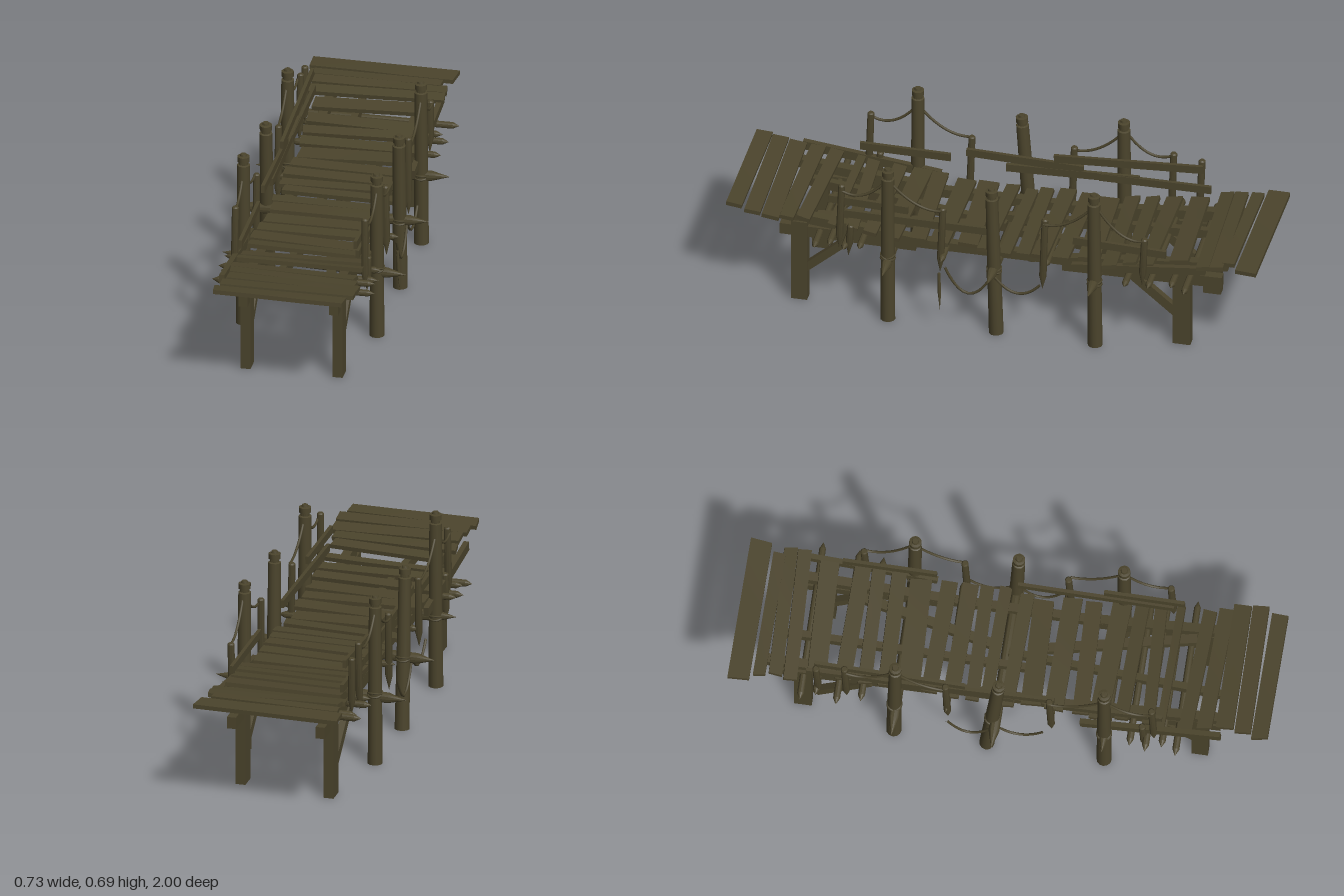
import * as THREE from 'three';
import { toCreasedNormals } from 'three/addons/utils/BufferGeometryUtils.js';

export function createModel() {
  const root = new THREE.Group();
  root.name = 'woodenBridge';
  const wood = new THREE.MeshStandardMaterial({ color: 0x4b442c });
  wood.name = 'weathered wood';
  const V = (x, y, z) => new THREE.Vector3(x, y, z);

  let seed = 7;
  const rnd = (s) => {
    seed = (seed * 16807) % 2147483647;
    return (seed / 2147483647 - 0.5) * 2 * s;
  };
  const group = (name) => {
    const g = new THREE.Group();
    g.name = name;
    root.add(g);
    return g;
  };
  const add = (parent, geo, name) => {
    const m = new THREE.Mesh(geo, wood);
    m.name = name;
    parent.add(m);
    return m;
  };

  // Squared timber from a to b: w across, h deep
  const beam = (parent, name, a, b, w, h) => {
    const m = add(parent, new THREE.BoxGeometry(w, h, a.distanceTo(b)), name);
    m.position.copy(a).add(b).multiplyScalar(0.5);
    if (Math.hypot(b.x - a.x, b.z - a.z) < 0.1 * Math.abs(b.y - a.y)) m.up.set(0, 0, 1);
    m.lookAt(b);
  };

  // Round timber turned from a [radius, distance along] profile
  const turned = (parent, name, a, b, profile) => {
    const pts = profile.map(([r, t]) => new THREE.Vector2(r, t));
    const m = add(parent, toCreasedNormals(new THREE.LatheGeometry(pts, 12), 0.6), name);
    m.position.copy(a);
    m.quaternion.setFromUnitVectors(V(0, 1, 0), b.clone().sub(a).normalize());
  };

  const rope = (parent, name, a, b, sag) => {
    const mid = a.clone().add(b).multiplyScalar(0.5);
    mid.y -= sag * 2;
    const curve = new THREE.QuadraticBezierCurve3(a, mid, b);
    add(parent, new THREE.TubeGeometry(curve, 14, 0.005, 6), name);
  };

  // Height of the deck along the sagging span
  const deckY = (z) => {
    const t = Math.abs(z);
    return 0.332 + (t < 0.4 ? 0.03 * t : 0.012 + (t - 0.4) * 0.125) + (z < -0.85 ? (z + 0.85) * 0.12 : 0);
  };

  // Deck planks: z, depth, left end, right end, twist
  const deck = group('deck');
  [
    [-0.96, 0.08, -0.28, 0.26, -0.01], [-0.887, 0.045, -0.26, 0.22, -0.01], [-0.838, 0.05, -0.25, 0.25, 0.03],
    [-0.785, 0.05, -0.26, 0.25, 0.04], [-0.69, 0.07, -0.22, 0.22, 0.04], [-0.58, 0.06, -0.22, 0.24, -0.02],
    [-0.51, 0.05, -0.22, 0.24, 0.03], [-0.435, 0.055, -0.21, 0.25, 0.03], [-0.35, 0.08, -0.2, 0.22, 0.04],
    [-0.26, 0.06, -0.21, 0.23, -0.03], [-0.18, 0.06, -0.22, 0.23, -0.02], [-0.11, 0.05, -0.22, 0.23, 0.02],
    [-0.05, 0.045, -0.2, 0.24, -0.02], [0.03, 0.05, -0.22, 0.22, -0.03], [0.105, 0.075, -0.2, 0.21, 0.03],
    [0.2, 0.07, -0.21, 0.23, -0.02], [0.29, 0.06, -0.22, 0.22, 0.03], [0.375, 0.07, -0.22, 0.24, -0.05],
    [0.455, 0.05, -0.22, 0.24, -0.03], [0.54, 0.045, -0.22, 0.23, 0.04], [0.6, 0.03, -0.23, 0.24, -0.02],
    [0.7, 0.05, -0.24, 0.24, -0.05], [0.765, 0.055, -0.22, 0.25, -0.03], [0.83, 0.065, -0.21, 0.27, 0.01],
    [0.898, 0.06, -0.23, 0.27, 0.01], [0.967, 0.06, -0.24, 0.25, -0.01],
  ].forEach(([z, d, x0, x1, twist]) => {
    const geo = new THREE.BoxGeometry(x1 - x0, 0.016, d, 3, 1, 1);
    const p = geo.attributes.position;
    // Uneven sawn edges, keyed to each corner so faces stay joined
    const k = [rnd(0.006), rnd(0.006), rnd(0.006), rnd(0.006)];
    for (let i = 0; i < p.count; i++) {
      const c = (p.getX(i) > 0 ? 1 : 0) + (p.getZ(i) > 0 ? 2 : 0);
      p.setX(i, p.getX(i) + k[c]);
      p.setY(i, p.getY(i) + k[3 - c] * 0.3);
    }
    geo.computeVertexNormals();
    const m = add(deck, geo, 'deckPlank');
    m.position.set((x0 + x1) / 2, deckY(z) + rnd(0.003), z);
    const slope = Math.atan2(deckY(z + 0.03) - deckY(z - 0.03), 0.06);
    m.rotation.set(-slope, twist, rnd(0.015));
  });

  // Long bearers under the deck, in overlapping lengths
  const frame = group('underFrame');
  for (const s of [-1, 1]) {
    const x = s * 0.17;
    const xf = x + 0.008, xb = x - 0.008;
    beam(frame, 'endBearer', V(xf, 0.364, 0.84), V(x, 0.303, 0.28), 0.034, 0.036);
    beam(frame, 'endBearer', V(xb, 0.362, -0.87), V(x, 0.305, -0.28), 0.034, 0.036);
    beam(frame, 'lowerBearer', V(xf, 0.298, 0.81), V(x, 0.29, 0.3), 0.034, 0.045);
    beam(frame, 'lowerBearer', V(xb, 0.29, -0.85), V(x, 0.285, -0.25), 0.034, 0.045);
    beam(frame, 'middleBearer', V(x, 0.3, 0.42), V(x, 0.305, -0.42), 0.032, 0.035);
  }
  beam(frame, 'centreBearer', V(-0.067, 0.355, 0.8), V(0, 0.3, 0), 0.026, 0.036);
  beam(frame, 'centreBearer', V(-0.05, 0.3, 0.1), V(-0.06, 0.345, -0.82), 0.026, 0.036);
  beam(frame, 'diagonalBearer', V(0.14, 0.335, 0.68), V(0.03, 0.305, 0.12), 0.035, 0.03);
  beam(frame, 'diagonalBearer', V(0.02, 0.3, -0.05), V(0.13, 0.325, -0.6), 0.035, 0.03);
  beam(frame, 'sideBoard', V(-0.24, 0.385, 0.82), V(-0.24, 0.325, 0.3), 0.02, 0.035);
  beam(frame, 'sideBoard', V(0.235, 0.375, -0.8), V(0.235, 0.32, -0.3), 0.02, 0.03);

  // Square end legs and braces
  const legs = group('endSupports');
  for (const s of [-1, 1]) {
    const xf = s * 0.173 + 0.01, xb = s * 0.174 - 0.011, zb = -0.717 + s * 0.018;
    beam(legs, 'frontLeg', V(xf, 0, 0.735), V(xf, 0.34, 0.735), 0.038, 0.06);
    beam(legs, 'backLeg', V(xb, 0, zb), V(xb, 0.34, zb), 0.038, 0.066);
    beam(legs, 'frontBrace', V(xf, 0.13, 0.72), V(xf, 0.29, 0.54), 0.025, 0.03);
    beam(legs, 'backBrace', V(xb, 0.12, -0.69), V(xb, 0.29, -0.49), 0.025, 0.035);
  }

  // Pointed cross poles
  const poles = group('crossPoles');
  const pole = (name, z, y0, y1, x0, x1, r, tip) => {
    const a = V(x0, y0, z + rnd(0.006)), b = V(x1, y1, z + rnd(0.006)), L = a.distanceTo(b);
    turned(poles, name, a, b, [[0, 0], [r, tip], [r * 0.95, L - tip], [0, L]]);
  };
  pole('mainCrossPole', 0.387, 0.28, 0.255, -0.33, 0.36, 0.02, 0.07);
  pole('mainCrossPole', -0.01, 0.27, 0.28, -0.37, 0.36, 0.02, 0.07);
  pole('mainCrossPole', -0.385, 0.258, 0.28, -0.37, 0.36, 0.02, 0.07);
  [
    [-0.735, -0.3, 0.32], [-0.675, -0.27, 0.27], [-0.605, -0.3, 0.31], [-0.513, -0.27, 0.3], [-0.2, -0.27, 0.25],
    [0.187, -0.25, 0.29], [0.49, -0.3, 0.29], [0.545, -0.31, 0.29], [0.608, -0.29, 0.29], [0.662, -0.31, 0.3],
  ].forEach(([z, x0, x1], i) => {
    const y = 0.315 - (i % 2) * 0.012;
    pole('smallCrossPole', z, y, y, x0, x1, 0.013, 0.025);
  });

  // Tall round posts with a grooved cap, bound to the cross poles
  const posts = group('tallPosts');
  for (const s of [-1, 1]) {
    const rows = [[0.39, 0.675 - s * 0.015, 0.39], [s > 0 ? -0.018 : -0.045, 0.63, 0], [-0.39, 0.662, -0.385]];
    for (const [z, H, topZ] of rows) {
      turned(posts, 'tallPost', V(s * 0.251, 0, z), V(s * 0.25, H, topZ), [
        [0, 0], [0.028, 0], [0.026, H * 0.5], [0.024, H - 0.045], [0.017, H - 0.042], [0.017, H - 0.03],
        [0.023, H - 0.03], [0.023, H - 0.01], [0.013, H - 0.008], [0.011, H], [0, H],
      ]);
      for (const tilt of [-0.3, 0.3]) {
        const ring = add(posts, new THREE.TorusGeometry(0.027, 0.004, 6, 14), 'binding');
        ring.position.set(s * 0.251, 0.275, z + (topZ - z) * 0.275 / H);
        ring.rotation.x = Math.PI / 2 + tilt;
      }
    }
  }

  // Slim railing stakes, sharpened below: z, foot, top
  const stakes = group('railingStakes');
  const stake = (s, z, y0, y1) => {
    const L = y1 - y0;
    turned(stakes, 'stake', V(s * 0.245, y0, z + 0.005), V(s * 0.245 + rnd(0.006), y1, z - 0.005),
      [[0, 0], [0.014, 0.06], [0.013, L - 0.005], [0.009, L], [0, L]]);
  };
  for (const s of [-1, 1]) {
    stake(s, 0.57, 0.28, 0.56);
    stake(s, 0.535, s < 0 ? 0.19 : 0.25, 0.39);
    stake(s, 0.19, 0.23, 0.51);
    stake(s, -0.195, 0.21, 0.52);
    stake(s, -0.57, 0.28, s < 0 ? 0.55 : 0.49);
  }
  stake(-1, -0.675, 0.3, 0.53);
  turned(stakes, 'hangingSplinter', V(0.292, 0.09, 0.185), V(0.285, 0.25, 0.19),
    [[0, 0], [0.007, 0.08], [0.005, 0.16], [0, 0.16]]);

  // Broken railing boards: side, z and y of each end
  const rails = group('railings');
  [
    [-1, 0.6, 0.425, 0.26, 0.42], [-1, 0.2, 0.455, -0.24, 0.44], [-1, 0.05, 0.41, -0.45, 0.425],
    [-1, -0.13, 0.475, -0.69, 0.505], [-1, -0.3, 0.42, -0.72, 0.42],
    [1, 0.62, 0.475, 0.32, 0.468], [1, 0.58, 0.418, 0, 0.42], [1, -0.3, 0.425, -0.65, 0.415],
  ].forEach(([s, z0, y0, z1, y1]) =>
    beam(rails, 'railBoard', V(s * 0.218, y0, z0), V(s * 0.222, y1, z1), 0.013, 0.03));

  // Ropes slung between posts and stakes, and loops below the deck
  const ropes = group('ropes');
  for (const s of [-1, 1]) {
    const x = s * 0.252, low = s * 0.278;
    rope(ropes, 'railRope', V(x, 0.6, 0.38), V(x, 0.5, 0.19), 0.03);
    rope(ropes, 'railRope', V(x, 0.6, 0.4), V(x, 0.54, 0.57), 0.04);
    rope(ropes, 'railRope', V(x, 0.6, -0.38), V(x, 0.5, -0.195), 0.03);
    rope(ropes, 'railRope', V(x, 0.6, -0.4), V(x, s < 0 ? 0.53 : 0.48, -0.57), 0.04);
    rope(ropes, 'lowerRope', V(low, 0.275, 0.17), V(low, 0.27, -0.01), 0.08 + s * 0.02);
    rope(ropes, 'lowerRope', V(low, 0.27, -0.01), V(low, 0.25, -0.19), 0.08 - s * 0.02);
  }
  return root;
}
